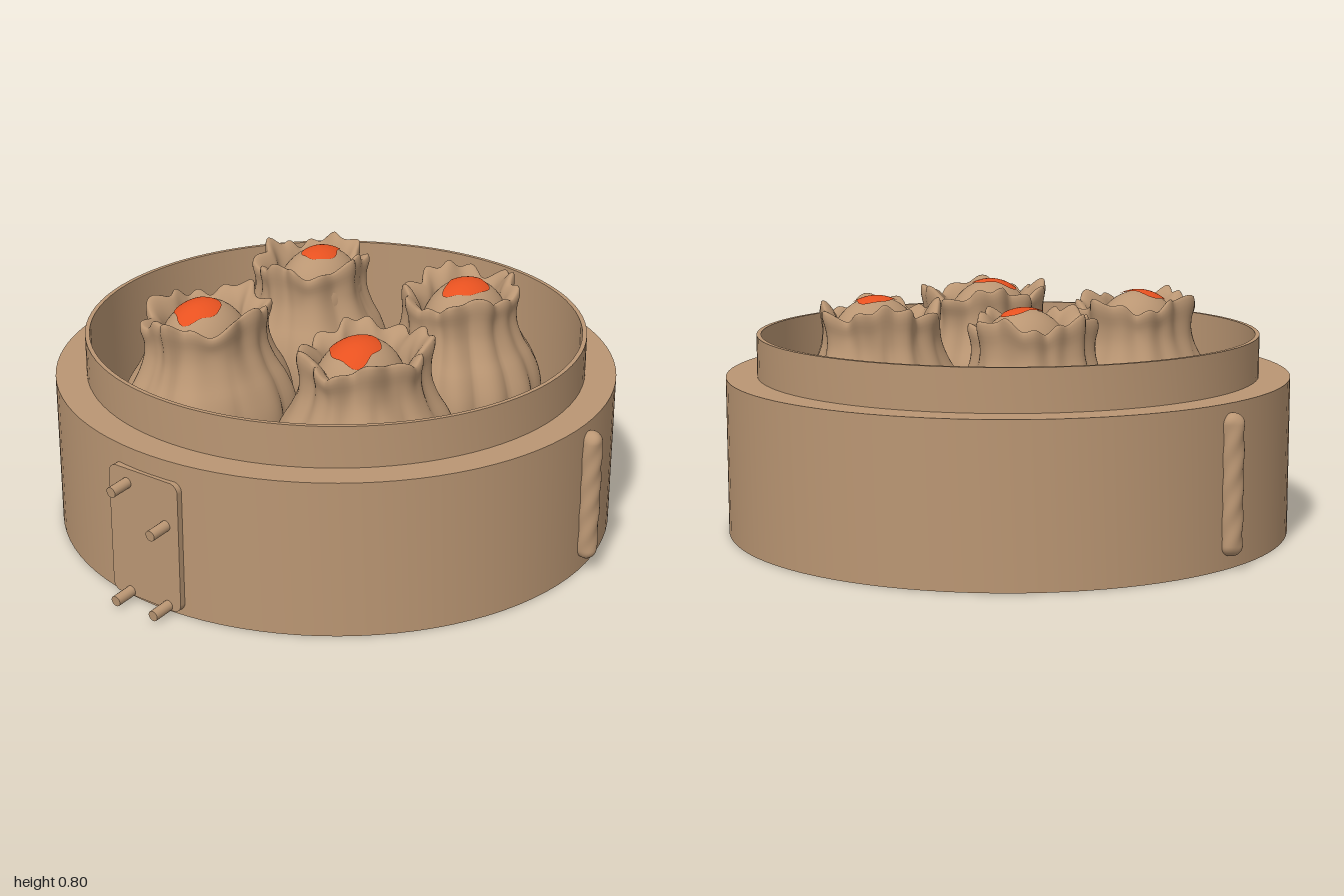
import * as THREE from 'three';
import { mergeVertices, toCreasedNormals } from 'three/addons/utils/BufferGeometryUtils.js';

const bamboo = new THREE.MeshStandardMaterial({ name: 'bambooTan', color: 0xba9673 });
const roe = new THREE.MeshStandardMaterial({ name: 'roeOrange', color: 0xee5421 });

const FLOOR = 0.26;
const CENTRE_Z = -0.045;

function add(parent, name, geometry, material, x = 0, y = 0, z = 0) {
  const mesh = new THREE.Mesh(geometry, material);
  mesh.name = name;
  mesh.position.set(x, y, z);
  parent.add(mesh);
  return mesh;
}

const lathe = (pts, segments) =>
  new THREE.LatheGeometry(pts.map(([r, y]) => new THREE.Vector2(r, y)), segments);

// Join the seams of a geometry and recompute smooth normals
function smooth(geometry) {
  geometry.deleteAttribute('uv');
  geometry.deleteAttribute('normal');
  const merged = mergeVertices(geometry, 1e-4);
  merged.computeVertexNormals();
  return merged;
}

// Move every vertex by a rule
function warp(geometry, rule) {
  const p = geometry.attributes.position;
  const v = new THREE.Vector3();
  for (let i = 0; i < p.count; i++) {
    rule(v.fromBufferAttribute(p, i));
    p.setXYZ(i, v.x, v.y, v.z);
  }
  return geometry;
}

// Stepped round basket: thick lower band, thin upper collar, closed bottom
function basketGeometry() {
  const wall = lathe([
    [0, 0], [0.955, 0], [0.955, 0.53], [0.85, 0.53], [0.85, 0.67],
    [0.835, 0.67], [0.835, FLOOR - 0.025], [0, FLOOR - 0.025],
  ], 96);
  return toCreasedNormals(wall, 0.6);
}

// Diagonal floor slats clipped to the round basket, some with drain holes
function buildSlats(parent) {
  const angle = 0.67, pitch = 0.13, shift = 0.03, half = 0.058, R = 0.838;
  const holes = [[-0.66, -0.035, 0.03], [0.67, -0.035, 0.03], [0, -0.675, 0.045]].map(([x, z, r]) => ({
    u: x * Math.cos(angle) + z * Math.sin(angle),
    row: Math.round((x * Math.sin(angle) - z * Math.cos(angle) - shift) / pitch),
    r,
  }));
  for (let row = -6; row <= 6; row++) {
    const mid = row * pitch + shift;
    const right = [], left = [];
    for (let i = 0; i <= 6; i++) {
      const v = Math.min(mid - half + (2 * half * i) / 6, R - 0.002 + i * 0.0002);
      const u = Math.sqrt(R * R - v * v);
      right.push(new THREE.Vector2(u, v));
      left.unshift(new THREE.Vector2(-u, v));
    }
    const shape = new THREE.Shape([...right, ...left]);
    for (const h of holes.filter((o) => o.row === row)) {
      const path = new THREE.Path();
      path.absarc(h.u, mid, h.r, 0, Math.PI * 2, true);
      shape.holes.push(path);
    }
    const slat = new THREE.ExtrudeGeometry(shape, { depth: 0.025, bevelEnabled: false });
    slat.rotateX(-Math.PI / 2).rotateY(-angle);
    add(parent, 'floorSlat', slat, bamboo, 0, FLOOR - 0.025, 0);
  }
}

// Pleated wrapper: lobed round base, gathered neck, ruffled lip folding inwards
function wrapperGeometry(phase) {
  const profile = new THREE.CatmullRomCurve3([
    [0.2, 0], [0.255, 0.01], [0.282, 0.06], [0.287, 0.12], [0.277, 0.19], [0.25, 0.26], [0.216, 0.32],
    [0.193, 0.38], [0.188, 0.43], [0.194, 0.48], [0.188, 0.502], [0.168, 0.492], [0.142, 0.45], [0.13, 0.38],
  ].map(([r, y]) => new THREE.Vector3(r, y, 0))).getPoints(44).map((p) => [p.x, p.y]);
  const geometry = warp(lathe(profile, 120), (v) => {
    const a = Math.atan2(v.x, v.z);
    const t = THREE.MathUtils.clamp(v.y / 0.5, 0, 1);
    const sway = 0.9 * Math.sin(2 * a + phase * 2);
    const lobe = Math.abs(Math.sin(5 * a + phase + sway)) - 0.7;
    const fold = Math.sin(8 * a + phase + sway + 2 * t);
    const crease = Math.sin(13 * a + phase * 3 + Math.sin(3 * a));
    const ruffle = Math.max(0, t - 0.78) / 0.22;
    const s = 1 + lobe * 0.11 * (1 - t * t) + fold * 0.06 * t * t + crease * 0.04 * t * t;
    v.x *= s * (1 - 0.04 * t);
    v.z *= s * (1 + 0.14 * t);
    v.y += ruffle * (0.02 * Math.sin(4 * a + phase * 2) + 0.01 * crease);
  });
  return smooth(geometry);
}

// One open-topped dumpling with a round filling and an orange roe patch
function buildDumpling(parent, { x, z, sx, sz, top, patch, size, phase }) {
  const dumpling = new THREE.Group();
  dumpling.name = 'dumpling';
  dumpling.position.set(x, FLOOR, z);
  parent.add(dumpling);
  add(dumpling, 'wrapper', wrapperGeometry(phase), bamboo).scale.set(sx, 1, sz);

  const filling = new THREE.Group();
  filling.name = 'filling';
  filling.position.set(top[0] - x, 0.357, top[1] - z);
  filling.scale.set(0.145, 0.178, 0.175);
  dumpling.add(filling);
  add(filling, 'meat', new THREE.SphereGeometry(1, 40, 24), bamboo);

  // Patch follows the filling surface with an uneven edge
  const skin = new THREE.RingGeometry(0.001, 1, 32, 8).rotateX(-Math.PI / 2);
  warp(skin, (v) => {
    const a = Math.atan2(v.z, v.x);
    const wobble = 1 + 0.1 * Math.sin(3 * a + phase) + 0.06 * Math.sin(5 * a + phase * 2);
    v.x = patch[0] + v.x * size[0] * wobble;
    v.z = patch[1] + v.z * size[1] * wobble;
    v.y = Math.sqrt(Math.max(0, 1 - v.x * v.x - v.z * v.z));
    v.multiplyScalar(1.025);
  });
  add(filling, 'roePatch', smooth(skin), roe);
}

// Twisted cord loop on the side of the basket
function cordGeometry() {
  const cord = new THREE.CapsuleGeometry(0.036, 0.385, 10, 32, 40);
  warp(cord, (v) => {
    const s = 1 + 0.05 * Math.sin(3 * Math.atan2(v.z, v.x) + v.y * 60);
    v.x *= s;
    v.z *= s;
  });
  return smooth(cord);
}

// Upright front tag with rounded corners
function tagGeometry() {
  const w = 0.142, h = 0.225, r = 0.03;
  const s = new THREE.Shape();
  s.absarc(w - r, h - r, r, 0, Math.PI / 2);
  s.absarc(-w + r, h - r, r, Math.PI / 2, Math.PI);
  s.absarc(-w + r, -h + r, r, Math.PI, Math.PI * 1.5);
  s.absarc(w - r, -h + r, r, Math.PI * 1.5, Math.PI * 2);
  return new THREE.ExtrudeGeometry(s, { depth: 0.03, bevelEnabled: false });
}

export function createModel() {
  const model = new THREE.Group();
  model.name = 'dumplingSteamer';

  const basket = new THREE.Group();
  basket.name = 'basket';
  basket.position.set(-0.003, 0, CENTRE_Z);
  model.add(basket);
  add(basket, 'basketWall', basketGeometry(), bamboo);
  buildSlats(basket);

  // Side cords
  for (const side of [-1, 1]) {
    add(model, side > 0 ? 'leftCord' : 'rightCord', cordGeometry(), bamboo, side * 0.962, 0.272, -0.135);
  }

  // Front tag and its pegs, tipped slightly upwards
  add(model, 'frontTag', tagGeometry(), bamboo, -0.027, 0.24, 0.893);
  for (const [x, y] of [[-0.095, 0.413], [0.063, 0.31], [-0.095, 0.027], [0.063, 0.027]]) {
    const peg = new THREE.CylinderGeometry(0.018, 0.018, 0.1, 16).rotateX(Math.PI / 2 + 0.08);
    add(model, 'tagPeg', peg, bamboo, x, y, 0.947);
  }

  // Four dumplings
  [
    { x: -0.33, z: -0.33, sx: 0.97, sz: 0.97, top: [-0.3, -0.34], patch: [0.08, 0], size: [0.36, 0.46], phase: 0.6 },
    { x: 0.27, z: -0.385, sx: 1, sz: 1.02, top: [0.3, -0.38], patch: [0.05, 0.05], size: [0.45, 0.5], phase: 2.1 },
    { x: -0.29, z: 0.295, sx: 0.97, sz: 1.1, top: [-0.29, 0.31], patch: [0, 0.2], size: [0.52, 0.44], phase: 3.7 },
    { x: 0.335, z: 0.25, sx: 1.03, sz: 1.1, top: [0.33, 0.27], patch: [0.03, 0.18], size: [0.54, 0.48], phase: 5.2 },
  ].forEach((d) => buildDumpling(model, d));

  return model;
}
